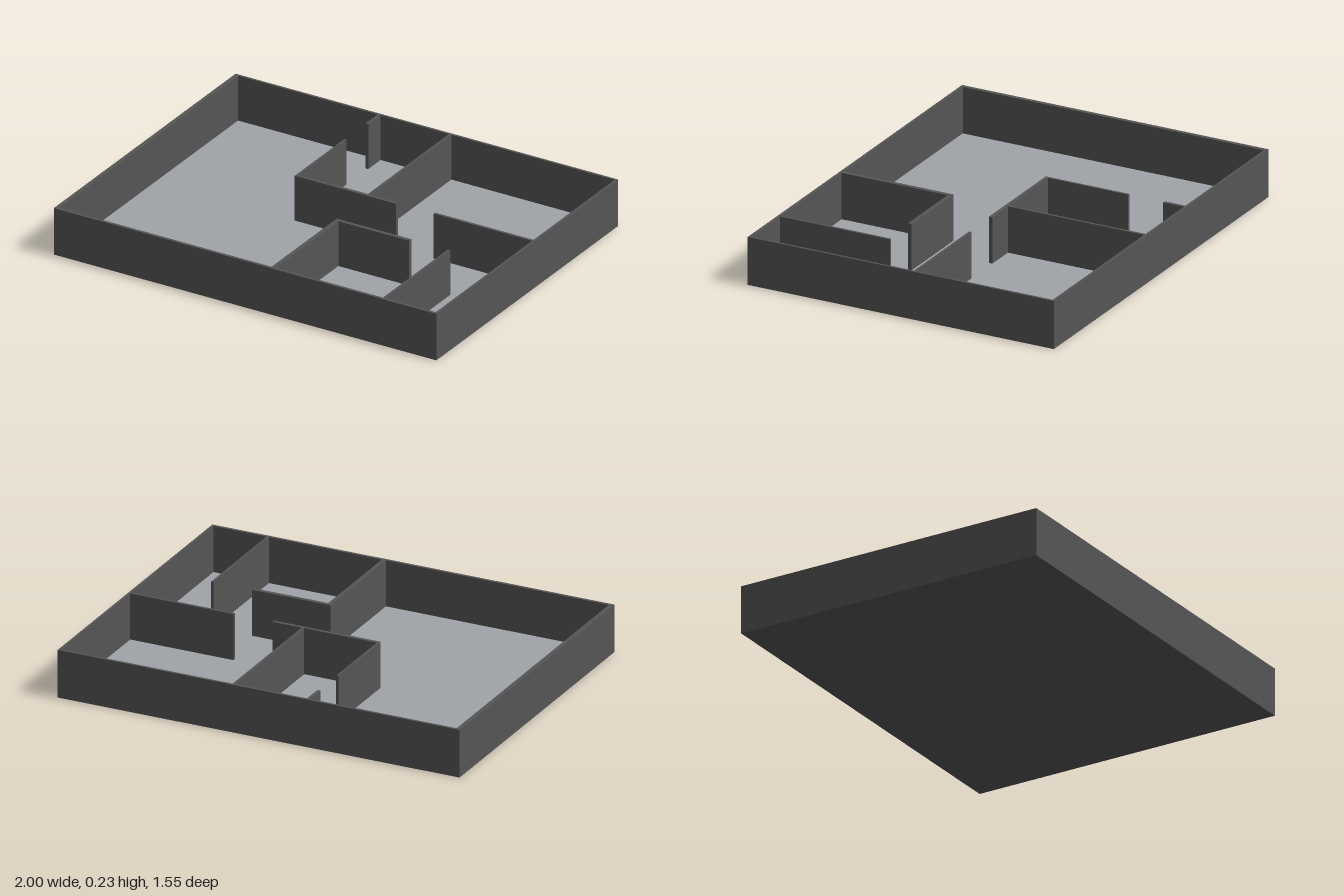
import * as THREE from 'three';

export function createModel() {
  const wallPaint = new THREE.MeshStandardMaterial({ color: 0x555555 });
  wallPaint.name = 'dark grey walls';
  const floorPaint = new THREE.MeshStandardMaterial({ color: 0xa0a4a8 });
  floorPaint.name = 'light grey floor';

  const house = new THREE.Group();
  house.name = 'floorPlan';
  const FLOOR = 0.008, TOP = 0.232;

  // Box given by its extents in plan and in height
  function block(name, [x0, x1, z0, z1], y0, y1, material) {
    const mesh = new THREE.Mesh(new THREE.BoxGeometry(x1 - x0, y1 - y0, z1 - z0), material);
    mesh.position.set((x0 + x1) / 2, (y0 + y1) / 2, (z0 + z1) / 2);
    mesh.name = name;
    house.add(mesh);
  }

  // Base slab and the floor finish laid between the outer walls
  block('baseSlab', [-1, 1, -0.777, 0.777], 0, 0.004, wallPaint);
  block('floor', [-0.98, 0.988, -0.765, 0.765], 0.004, FLOOR, floorPaint);

  // Outer walls: x0, x1, z0, z1
  const outerWalls = {
    leftOuterWall: [0.988, 1, -0.765, 0.763],
    rightOuterWall: [-1, -0.98, -0.765, 0.763],
    backOuterWall: [-1, 1, -0.777, -0.765],
    frontOuterWall: [-1, 1, 0.763, 0.777],
  };
  for (const [name, plan] of Object.entries(outerWalls)) block(name, plan, 0.004, TOP, wallPaint);

  // Inner walls, with door gaps between them
  const innerWalls = {
    backRoomDoorStub: [-0.25, -0.235, -0.765, -0.66],
    backRoomSideWall: [-0.25, -0.239, -0.48, -0.073],
    backRoomFrontWall: [-0.25, 0.28, -0.073, -0.056],
    backRoomDivider: [0.122, 0.135, -0.765, -0.073],
    backLeftRoomFrontWall: [0.474, 0.988, -0.073, -0.06],
    frontRoomSideWall: [0.13, 0.15, 0.225, 0.763],
    frontRoomBackWall: [0.13, 0.52, 0.206, 0.225],
    frontLeftRoomDivider: [0.712, 0.724, 0.206, 0.763],
  };
  for (const [name, plan] of Object.entries(innerWalls)) block(name, plan, FLOOR, TOP, wallPaint);

  return house;
}
